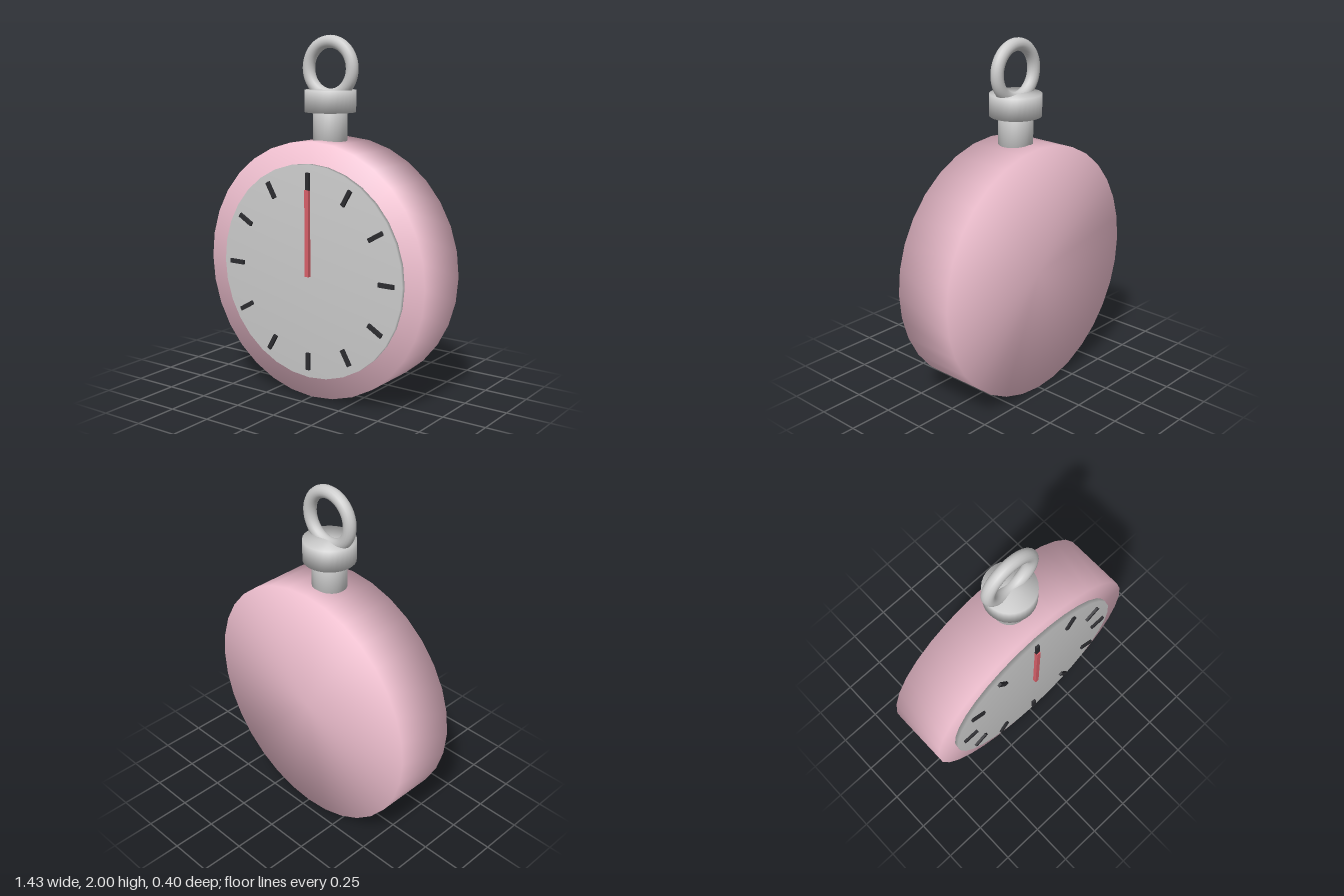
import * as THREE from 'three';
import { mergeVertices } from 'three/addons/utils/BufferGeometryUtils.js';

const CENTER_Y = 0.72; // centre of the case and dial
const AXIS_Z = -0.023; // middle of the case depth

const material = (color) => new THREE.MeshStandardMaterial({ color });

// Weld the rims so that shading runs softly from wall to cap
function soften(geometry) {
  geometry.deleteAttribute('normal');
  geometry.deleteAttribute('uv');
  const welded = mergeVertices(geometry, 1e-4);
  welded.computeVertexNormals();
  return welded;
}

function part(parent, name, geometry, mat, x, y, z) {
  const mesh = new THREE.Mesh(geometry, mat);
  mesh.name = name;
  mesh.position.set(x, y, z);
  parent.add(mesh);
  return mesh;
}

// Disc facing +z, spanning z0 to z1
function disc(parent, name, radius, z0, z1, mat) {
  const geometry = new THREE.CylinderGeometry(radius, radius, z1 - z0, 32).rotateX(Math.PI / 2);
  return part(parent, name, soften(geometry), mat, 0, CENTER_Y, (z0 + z1) / 2);
}

// Upright round post, spanning y0 to y1
function post(parent, name, radius, y0, y1, mat) {
  const geometry = new THREE.CylinderGeometry(radius, radius, y1 - y0, 32);
  return part(parent, name, soften(geometry), mat, 0, (y0 + y1) / 2, AXIS_Z);
}

export function createModel() {
  const watch = new THREE.Group();
  watch.name = 'stopwatch';
  const pink = material(0xf2c2d2);
  const grey = material(0xcccccc);
  const dark = material(0x2c2c30);
  const red = material(0xd9606a);

  // Case and dial
  disc(watch, 'case', 0.717, -0.202, 0.156, pink);
  disc(watch, 'dial', 0.597, 0.15, 0.181, grey);

  // Twelve hour marks around the dial
  const marks = new THREE.Group();
  marks.name = 'hourMarks';
  marks.position.set(0, CENTER_Y, 0);
  watch.add(marks);
  const markGeometry = new THREE.BoxGeometry(0.024, 0.097, 0.02);
  for (let i = 0; i < 12; i++) {
    const a = (i * Math.PI) / 6;
    const mark = part(marks, 'hourMark', markGeometry, dark, Math.sin(a) * 0.503, Math.cos(a) * 0.503, 0.185);
    mark.rotation.z = -a;
  }

  // Hand pointing straight up
  part(watch, 'hand', new THREE.BoxGeometry(0.024, 0.478, 0.022), red, 0, 0.939, 0.191);

  // Stem, crown and hanging ring
  post(watch, 'stem', 0.095, 1.42, 1.6, grey);
  post(watch, 'crown', 0.142, 1.585, 1.705, grey);
  part(watch, 'ring', new THREE.TorusGeometry(0.144, 0.035, 16, 48), grey, 0, 1.821, AXIS_Z);

  return watch;
}
